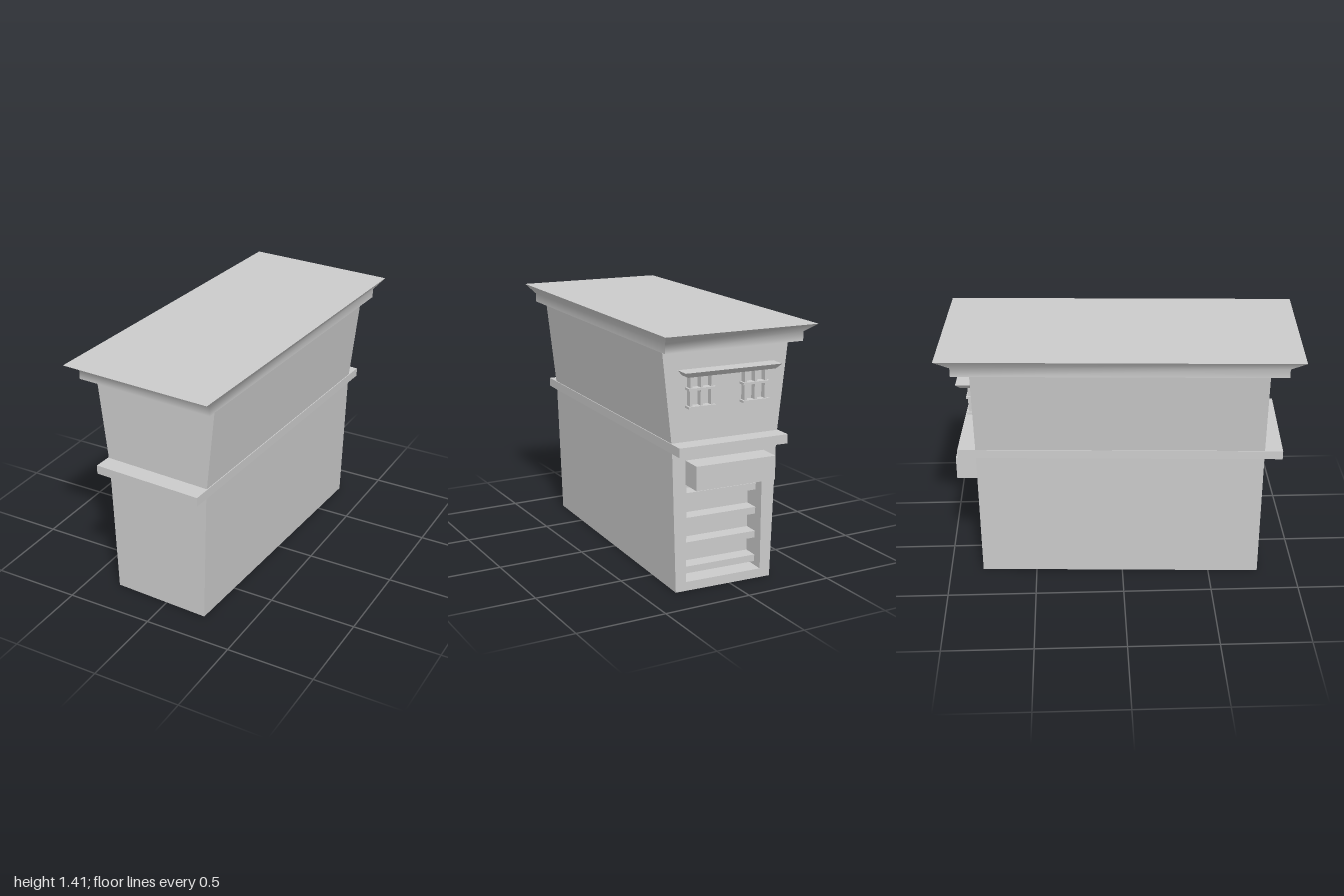
import * as THREE from 'three';

export function createModel() {
  const model = new THREE.Group();
  model.name = 'kioskBuilding';
  const material = new THREE.MeshStandardMaterial({ color: 0xcccccc, flatShading: false });

  const add = (name, geometry, parent = model) => {
    const mesh = new THREE.Mesh(geometry, material);
    mesh.name = name;
    parent.add(mesh);
    return mesh;
  };
  // Box given by its ranges on x, y and z
  const box = (name, [x0, x1], [y0, y1], [z0, z1], parent) =>
    add(name, new THREE.BoxGeometry(x1 - x0, y1 - y0, z1 - z0), parent)
      .position.set((x0 + x1) / 2, (y0 + y1) / 2, (z0 + z1) / 2);
  // Box whose vertices are moved by a rule
  const shaped = (geometry, rule) => {
    const p = geometry.attributes.position;
    const v = new THREE.Vector3();
    for (let i = 0; i < p.count; i++) {
      rule(v.fromBufferAttribute(p, i));
      p.setXYZ(i, v.x, v.y, v.z);
    }
    geometry.computeVertexNormals();
    return geometry;
  };

  // Walls: flared profile, solid in front, with an open recess at the back
  const BACK = -0.8, RECESS = -0.655;
  const profile = () => new THREE.Shape([
    [-0.285, 0], [0.285, 0], [0.31, 0.79], [0.368, 1.31], [-0.368, 1.31], [-0.31, 0.79],
  ].map(([x, y]) => new THREE.Vector2(x, y)));
  const wall = (name, shape, z0, z1) =>
    add(name, new THREE.ExtrudeGeometry(shape, { depth: z1 - z0, bevelEnabled: false })).position.z = z0;
  wall('mainWalls', profile(), RECESS, 0.8);
  const frame = profile();
  frame.holes.push(new THREE.Path([
    [-0.225, 0.05], [-0.225, 0.62], [0.225, 0.62], [0.225, 0.05],
  ].map(([x, y]) => new THREE.Vector2(x, y))));
  wall('recessFrame', frame, BACK, RECESS);

  // Shelves inside the recess
  for (let i = 0; i < 4; i++) {
    const y = 0.11 + i * 0.137;
    box(`shelf${i + 1}`, [-0.225, 0.225], [y - 0.038, y], [BACK + 0.06, RECESS]);
  }

  // Band around the middle and the box above the recess
  box('middleBand', [-0.318, 0.318], [0.77, 0.82], [-0.9, 0.9]);
  box('signBox', [-0.232, 0.232], [0.59, 0.72], [-0.924, BACK + 0.01]);

  // Cornice: upright lower half, flaring upper half
  add('cornice', shaped(new THREE.BoxGeometry(2, 2, 2, 1, 2, 1), (v) => {
    const top = v.y > 0.5;
    v.x *= top ? 0.436 : 0.398;
    v.z *= top ? 0.979 : 0.897;
    v.y = 1.36 + v.y * 0.05;
  }));

  // Canopy over the windows, wider at its top
  add('windowCanopy', shaped(new THREE.BoxGeometry(2, 2, 2), (v) => {
    const top = v.y > 0;
    v.x *= top ? 0.28 : 0.255;
    v.z = v.z > 0 ? BACK + 0.01 : top ? -0.892 : -0.868;
    v.y = top ? 1.2 : 1.172;
  }));

  // Two windows of upright fins crossed by thin ledges
  for (const side of [-1, 1]) {
    const win = new THREE.Group();
    win.name = side > 0 ? 'leftWindow' : 'rightWindow';
    win.position.x = side * 0.158;
    model.add(win);
    for (const x of [-0.06, 0, 0.06])
      box('windowFin', [x - 0.007, x + 0.007], [1.0, 1.174], [-0.834, BACK + 0.005], win);
    for (const y of [1.0, 1.095])
      box('windowLedge', [-0.078, 0.078], [y, y + 0.012], [-0.843, BACK + 0.005], win);
  }

  // The building stands slightly turned
  model.rotation.y = -0.046;
  return model;
}
